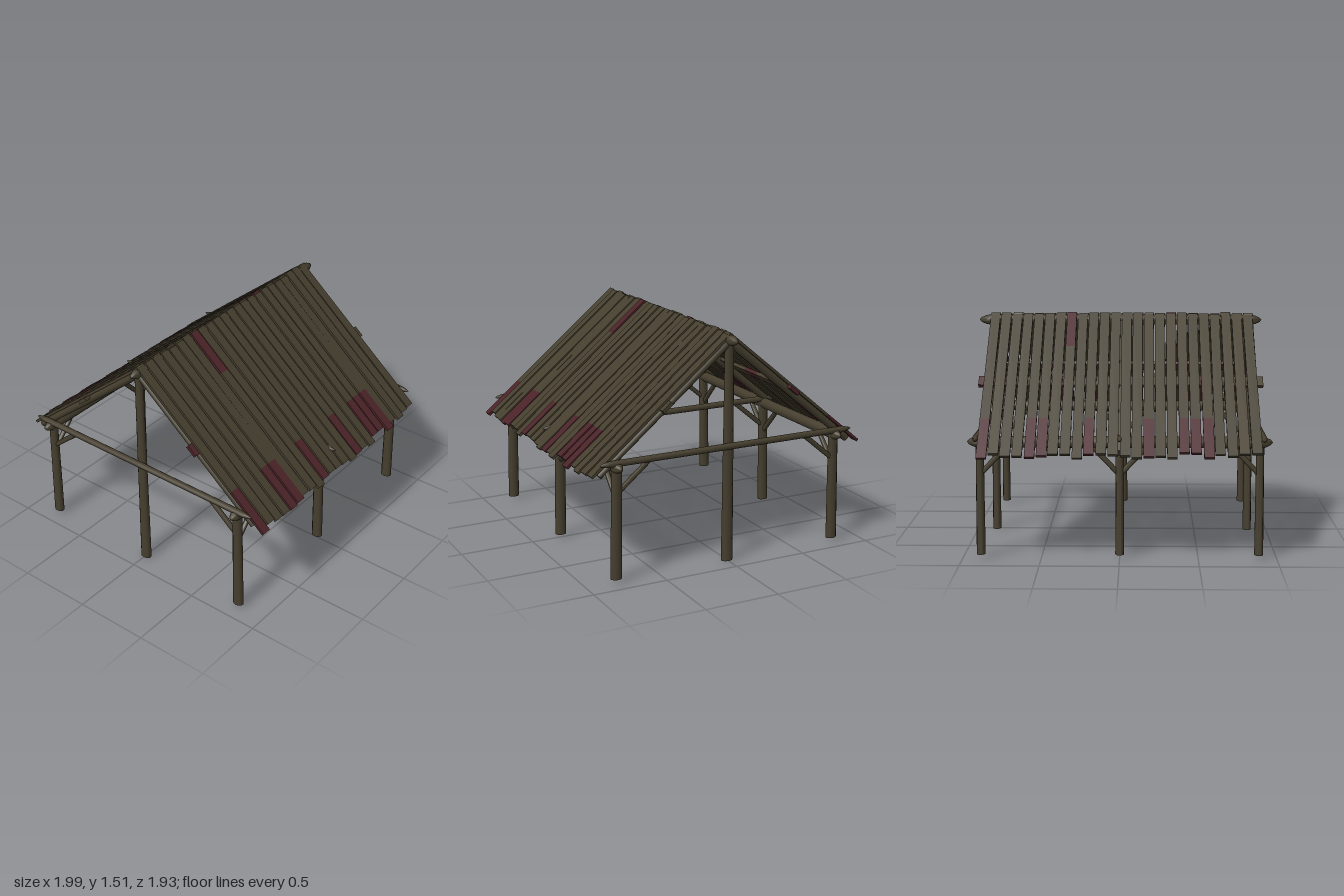
import * as THREE from 'three';
import { toCreasedNormals } from 'three/addons/utils/BufferGeometryUtils.js';

const weatheredWood = new THREE.MeshStandardMaterial({ color: 0x453e2e });
weatheredWood.name = 'weatheredWood';
const redPaint = new THREE.MeshStandardMaterial({ color: 0x4a2328 });
redPaint.name = 'redPaint';

const V = (x, y, z) => new THREE.Vector3(x, y, z);
const UP = V(0, 1, 0);

// Repeatable small variation
let seed = 7;
const vary = (amount) => {
  seed = (seed * 16807) % 2147483647;
  return (seed / 2147483647 - 0.5) * 2 * amount;
};

// Round timber from a to b; tip > 0 hews both ends to a point, squash flattens its depth
function log(parent, name, a, b, r0, r1 = r0, tip = 0, squash = 1) {
  const dir = b.clone().sub(a);
  const len = dir.length();
  const pts = [[0, 0]];
  if (tip) pts.push([r0 * 0.45, tip * 0.2], [r0 * 0.85, tip * 0.65], [r0, tip]);
  else pts.push([r0, 0]);
  pts.push([(r0 + r1) / 2, len / 2]);
  if (tip) pts.push([r1, len - tip], [r1 * 0.85, len - tip * 0.65], [r1 * 0.45, len - tip * 0.2]);
  else pts.push([r1, len]);
  pts.push([0, len]);
  const lathe = new THREE.LatheGeometry(pts.map(([x, y]) => new THREE.Vector2(x, y)), 10);
  lathe.scale(1, 1, squash);
  const mesh = new THREE.Mesh(toCreasedNormals(lathe, 0.9), weatheredWood);
  mesh.name = name;
  mesh.position.copy(a);
  mesh.quaternion.setFromUnitVectors(UP, dir.normalize());
  parent.add(mesh);
  return mesh;
}

function board(parent, name, material, w, h, d, x, y, z) {
  const mesh = new THREE.Mesh(new THREE.BoxGeometry(w, h, d), material);
  mesh.name = name;
  mesh.position.set(x, y, z);
  parent.add(mesh);
  return mesh;
}

// One slope: local +x runs down from the ridge
function roofSlope(name) {
  const slope = new THREE.Group();
  slope.name = name;
  const redEaves = [0, 4, 5, 9, 14, 17, 18, 19];
  const redTops = [7];
  const redLength = 0.32;
  seed = 7;
  for (let i = 0; i < 24; i++) {
    const plank = new THREE.Group();
    plank.name = 'roofPlank';
    const start = vary(0.008);
    const end = 1.258 + vary(0.026);
    const mid = redEaves.includes(i) ? 0.955 : redTops.includes(i) ? redLength : 0;
    const width = 0.065 + vary(0.002);
    const section = (from, to, material) =>
      board(plank, 'plankSection', material, to - from, 0.018, width, (from + to) / 2, 0, 0);
    if (mid) {
      const low = redEaves.includes(i);
      section(start, mid, low ? weatheredWood : redPaint);
      section(mid, end, low ? redPaint : weatheredWood);
    } else section(start, end, weatheredWood);
    plank.position.set(0, vary(0.005), 0.857 - i * 0.0743);
    plank.rotation.y = vary(0.003);
    slope.add(plank);
  }

  // Flat batten under the planks, partly painted
  const stops = [-0.925, -0.65, -0.5, 0.35, 0.5, 0.65, 0.925];
  for (let i = 0; i < stops.length - 1; i++) {
    const [from, to] = [stops[i], stops[i + 1]];
    board(slope, 'batten', i % 2 ? redPaint : weatheredWood,
      0.08, 0.024, to - from, 0.61, -0.022, (from + to) / 2);
  }

  // Rafters at both gables and the middle
  for (const z of [-0.865, 0, 0.865])
    log(slope, 'rafter', V(0.02, -0.038, z), V(1.2, -0.038, z), 0.027, 0.024);

  slope.position.y = 1.495;
  slope.rotation.z = -0.691;
  const holder = new THREE.Group();
  holder.name = name + 'Holder';
  holder.add(slope);
  return holder;
}

export function createModel() {
  const model = new THREE.Group();
  model.name = 'openShelter';

  // Roof: the second slope is the first turned half around
  const leftRoof = roofSlope('leftRoof');
  const rightRoof = roofSlope('rightRoof');
  rightRoof.rotation.y = Math.PI;
  model.add(leftRoof, rightRoof);

  // Long beams with hewn ends
  log(model, 'ridgeBeam', V(0, 1.457, -0.97), V(0, 1.457, 0.95), 0.034, 0.034, 0.07);
  for (const s of [-1, 1])
    log(model, 'eaveBeam', V(s * 0.79, 0.75, -0.965), V(s * 0.79, 0.75, 0.965), 0.038, 0.038, 0.07);

  // Tie beams across the width
  for (const z of [-0.905, 0, 0.905])
    log(model, 'tieBeam', V(-0.91, 0.778, z), V(0.91, 0.778, z), 0.021, 0.021, 0.08);

  // Tall gable posts
  for (const z of [-0.87, 0.87])
    log(model, 'gablePost', V(0, 0, z), V(0, 1.46, z), 0.04, 0.031, 0, 0.72);

  // Side posts and their braces
  for (const s of [-1, 1]) {
    for (const z of [-0.885, 0, 0.885]) {
      log(model, 'sidePost', V(s * 0.797, 0.025, z), V(s * 0.785, 0.75, z), 0.038, 0.034, 0, 0.75);
      log(model, 'crossBrace', V(s * 0.78, 0.585, z), V(s * 0.56, 0.768, z), 0.017);
      for (const t of [-1, 1]) {
        if (z * t > 0) continue;
        log(model, 'eaveBrace', V(s * 0.79, 0.54, z), V(s * 0.79, 0.73, z + t * 0.18), 0.017);
      }
    }
  }
  return model;
}
